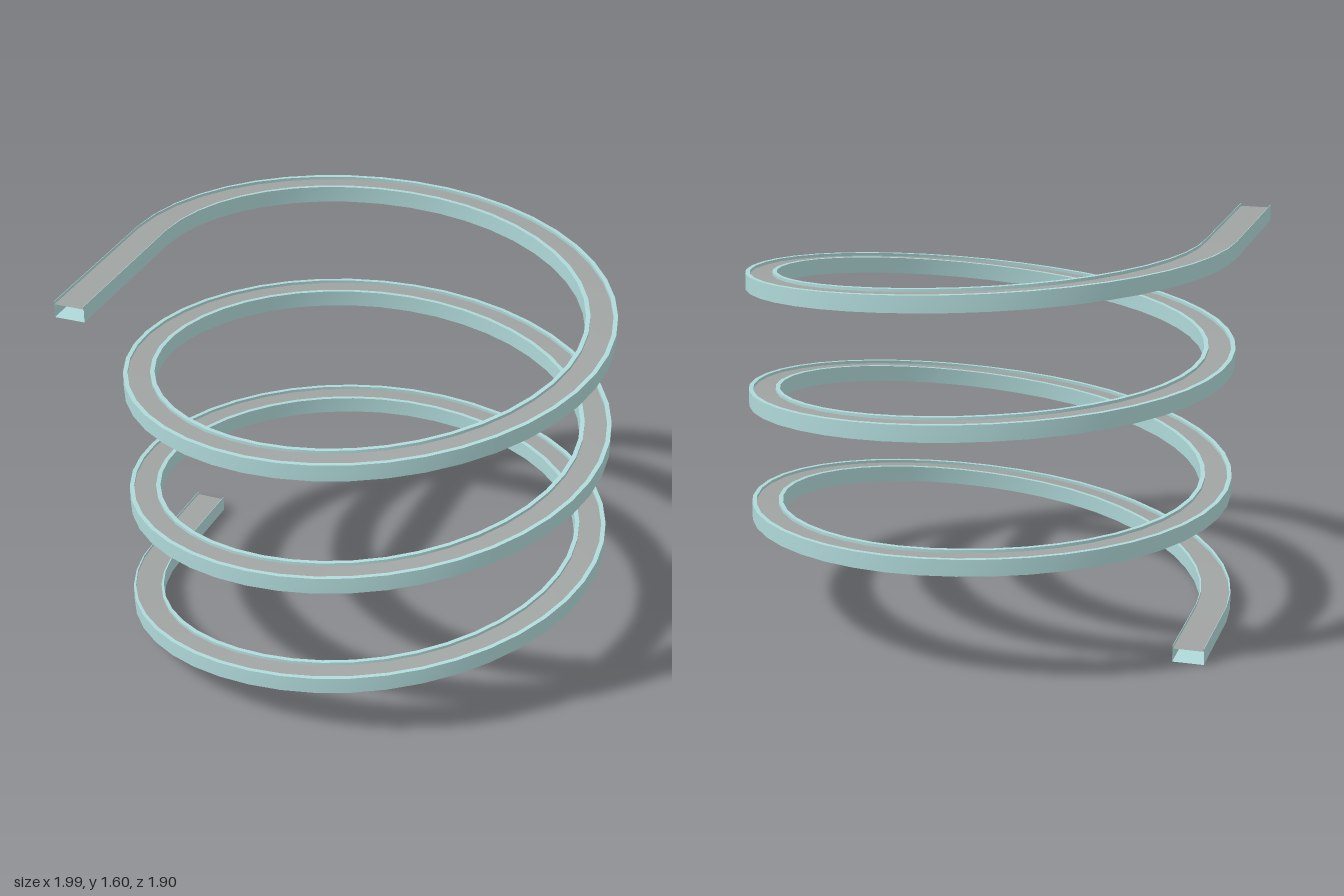
import * as THREE from 'three';

const HALF = 0.063;   // half width of the channel
const TALL = 0.067;   // channel height
const RECESS = 0.012; // how far the track bed sits below the rim
const STEPS = 44;     // segments per turn

// Mid-heights at each quarter turn: left, front, right, back, left ...
const HEIGHTS = [0.042, 0.22, 0.4, 0.478, 0.54, 0.685, 0.87, 1.0, 1.08, 1.185, 1.35, 1.492, 1.56];

// Centre line: straight lead-in, three turns, straight run-out
function makePath() {
  const rise = new THREE.SplineCurve(HEIGHTS.map((h, i) => new THREE.Vector2(i, h)));
  const points = [];
  for (let i = 0; i < 4; i++) {
    points.push({ p: new THREE.Vector3(-0.936, 0.034 + 0.002 * i, -0.45 + 0.1125 * i), lip: 0.002 });
  }
  const count = STEPS * 3;
  for (let i = 0; i <= count; i++) {
    const t = i / count;
    const a = t * Math.PI * 6;
    const atEnd = a < Math.PI / 2 || a > Math.PI * 5.5;
    const rx = atEnd ? 0.936 : 0.926;
    const fade = Math.min(1, Math.min(i, count - i) / (STEPS * 0.15));
    points.push({
      p: new THREE.Vector3(-rx * Math.cos(a), rise.getPoint(t).y, 0.886 * Math.sin(a)),
      lip: 0.002 + 0.016 * fade,
    });
  }
  for (let i = 1; i <= 5; i++) {
    points.push({ p: new THREE.Vector3(-0.936, 1.56 + 0.0005 * i, 0.146 * i), lip: 0.002 });
  }
  // Horizontal outward direction at every point
  points.forEach((q, i) => {
    const a = points[Math.max(i - 1, 0)].p;
    const b = points[Math.min(i + 1, points.length - 1)].p;
    q.out = new THREE.Vector3(a.z - b.z, 0, b.x - a.x).normalize();
  });
  return points;
}

// Ribbon swept along the path; each edge rule returns [sideways, up] for a lip width
function ribbon(path, edgeA, edgeB, material, name) {
  const pos = [];
  const index = [];
  path.forEach(({ p, out, lip }, i) => {
    for (const [side, up] of [edgeA(lip), edgeB(lip)]) {
      pos.push(p.x + out.x * side, p.y + up, p.z + out.z * side);
    }
    if (i > 0) {
      const k = 2 * (i - 1);
      index.push(k, k + 2, k + 3, k, k + 3, k + 1);
    }
  });
  const geometry = new THREE.BufferGeometry();
  geometry.setAttribute('position', new THREE.Float32BufferAttribute(pos, 3));
  geometry.setIndex(index);
  geometry.computeVertexNormals();
  const mesh = new THREE.Mesh(geometry, material);
  mesh.name = name;
  return mesh;
}

export function createModel() {
  const teal = new THREE.MeshStandardMaterial({ color: 0xafd8d8, side: THREE.DoubleSide });
  teal.name = 'pale teal';
  const grey = new THREE.MeshStandardMaterial({ color: 0x9fa3a1, side: THREE.DoubleSide });
  grey.name = 'track grey';

  const path = makePath();
  const top = TALL / 2;
  const bed = top - RECESS;

  // Corners of the hollow section, from outer bottom round to inner bottom
  const outerBottom = () => [HALF, -top];
  const outerTop = () => [HALF, top];
  const outerLip = (l) => [HALF - l, top];
  const outerBed = (l) => [HALF - l, bed];
  const innerBed = (l) => [-HALF + l, bed];
  const innerLip = (l) => [-HALF + l, top];
  const innerTop = () => [-HALF, top];
  const innerBottom = () => [-HALF, -top];

  const model = new THREE.Group();
  model.name = 'spiralTrack';
  model.add(
    ribbon(path, outerBottom, outerTop, teal, 'outerWall'),
    ribbon(path, outerTop, outerLip, teal, 'outerRim'),
    ribbon(path, outerLip, outerBed, teal, 'outerRimInside'),
    ribbon(path, outerBed, innerBed, grey, 'trackBed'),
    ribbon(path, innerBed, innerLip, teal, 'innerRimInside'),
    ribbon(path, innerLip, innerTop, teal, 'innerRim'),
    ribbon(path, innerTop, innerBottom, teal, 'innerWall'),
    ribbon(path, innerBottom, outerBottom, teal, 'underside'),
  );
  return model;
}
